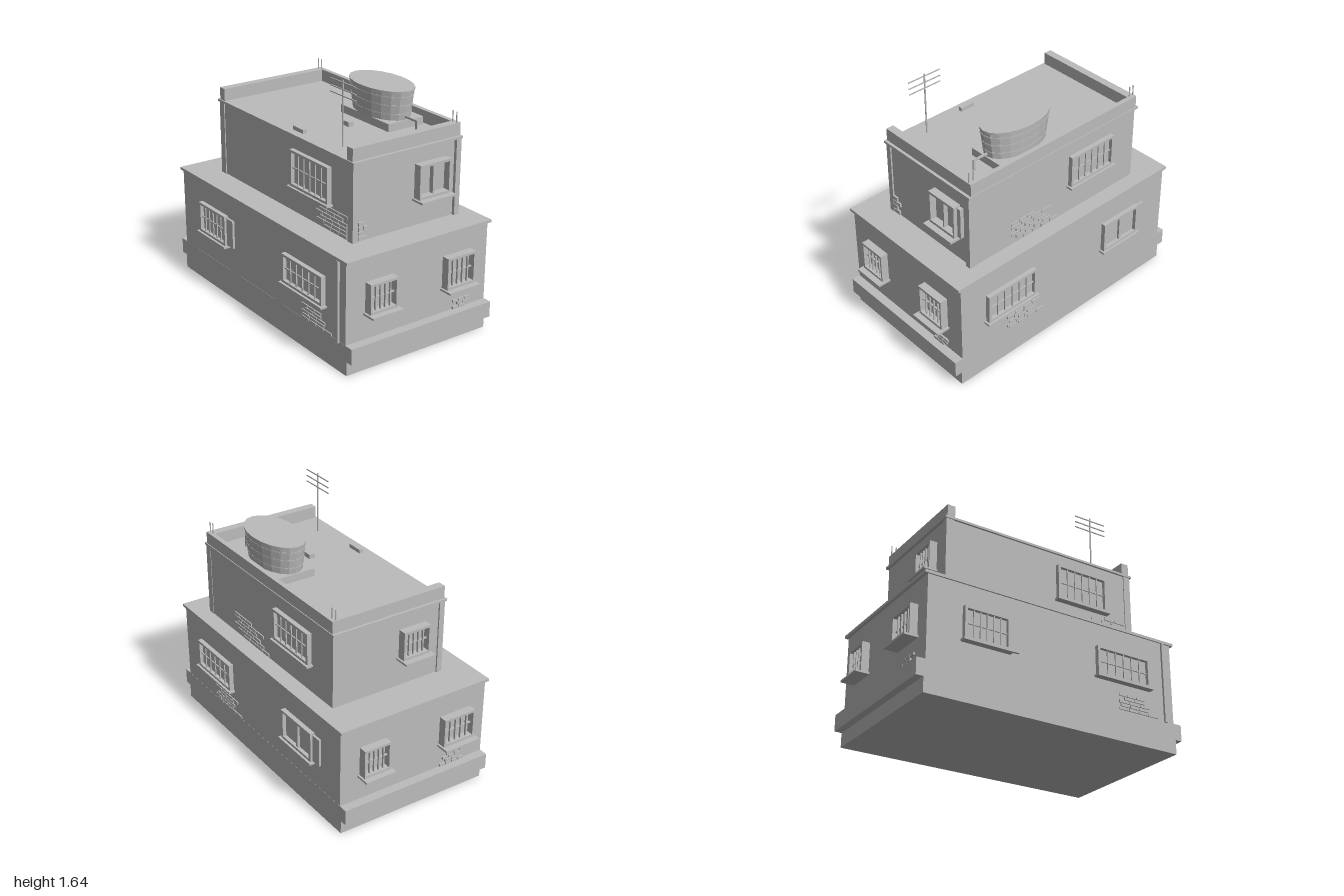
import * as THREE from 'three';

const concrete = new THREE.MeshStandardMaterial({ color: 0xbcbcbc });
concrete.name = 'concrete';

function mesh(parent, name, geometry, x = 0, y = 0, z = 0) {
  const m = new THREE.Mesh(geometry, concrete);
  m.name = name;
  m.position.set(x, y, z);
  parent.add(m);
  return m;
}

// Box given by its limits on each axis
function box(parent, name, x0, x1, y0, y1, z0, z1) {
  return mesh(parent, name, new THREE.BoxGeometry(x1 - x0, y1 - y0, z1 - z0),
    (x0 + x1) / 2, (y0 + y1) / 2, (z0 + z1) / 2);
}

function rod(parent, name, x, y0, y1, z, r = 0.004) {
  return mesh(parent, name, new THREE.CylinderGeometry(r, r, y1 - y0, 6), x, (y0 + y1) / 2, z);
}

// Wall frame: its own x runs rightwards seen from outside, z points outwards
function wall(parent, name, turn, x, z) {
  const g = new THREE.Group();
  g.name = name;
  g.rotation.y = turn * Math.PI / 2;
  g.position.set(x, 0, z);
  parent.add(g);
  return g;
}

// Framed window with sill, glass, grille or two panes, and optional open shutter
function addWindow(parent, a, b, y0, y1, { deep = false, bars = 5, shutter = 0 } = {}) {
  const g = new THREE.Group();
  g.name = 'window';
  parent.add(g);
  const d = deep ? 0.052 : 0.03, sill = deep ? 0.092 : 0.045;
  const w = deep ? 0.012 : 0.018, t = 0.016;
  box(g, 'frameLeft', a, a + w, y0, y1, 0, d);
  box(g, 'frameRight', b - w, b, y0, y1, 0, d);
  box(g, 'frameTop', a + w, b - w, y1 - t, y1, 0, d);
  box(g, 'frameBottom', a + w, b - w, y0, y0 + t, 0, d);
  box(g, 'glass', a + w, b - w, y0 + t, y1 - t, 0, 0.006);
  box(g, 'sill', a - 0.013, b + 0.013, y0 - 0.013, y0, 0, sill);
  if (bars) {
    const bw = deep ? 0.005 : 0.007;
    for (let i = 1; i <= bars; i++) {
      const x = a + w + (b - a - 2 * w) * i / (bars + 1);
      box(g, 'verticalBar', x - bw / 2, x + bw / 2, y0 + t, y1 - t, d * 0.5, d * 0.75);
    }
    const ym = (y0 + y1) / 2;
    box(g, 'crossBar', a + w, b - w, ym - 0.004, ym + 0.004, d * 0.35, d * 0.6);
  } else {
    const xm = (a + b) / 2;
    box(g, 'mullion', xm - w / 2, xm + w / 2, y0 + t, y1 - t, 0, d * 0.7);
  }
  if (shutter) box(g, 'shutter', b, b + shutter, y0 + 0.004, y1 - 0.012, 0, d * 0.5);
}

// Exposed bricks: each row is [start, end], laid from the bottom up
function addBricks(parent, y, rowHeight, rows, deep = false) {
  const g = new THREE.Group();
  g.name = 'exposedBricks';
  parent.add(g);
  const len = deep ? 0.045 : 0.076, gap = 0.005;
  rows.forEach(([a, b], i) => {
    const n = Math.max(1, Math.round((b - a) / len)), step = (b - a) / n;
    for (let k = 0; k < n; k++) {
      box(g, 'brick', a + k * step, a + (k + 1) * step - gap,
        y + i * rowHeight, y + (i + 1) * rowHeight - gap, 0, deep ? 0.012 : 0.007);
    }
  });
}

export function createModel() {
  const root = new THREE.Group();
  root.name = 'house';
  // The house is turned slightly, then stretched along x
  const stretch = 1.72;
  const outer = new THREE.Group(), turned = new THREE.Group(), h = new THREE.Group();
  outer.name = 'stretchedHouse'; turned.name = 'turnedHouse'; h.name = 'houseParts';
  outer.scale.x = stretch;
  turned.rotation.y = -0.041;
  h.scale.x = 1 / stretch;
  root.add(outer); outer.add(turned); turned.add(h);

  // Lower storey
  box(h, 'plinthBase', -0.895, 0.895, 0, 0.093, -0.521, 0.521);
  box(h, 'plinthTop', -0.943, 0.943, 0.093, 0.197, -0.521, 0.521);
  box(h, 'lowerStorey', -0.885, 0.885, 0.197, 0.717, -0.52, 0.52);
  box(h, 'lowerRoofSlab', -0.907, 0.907, 0.717, 0.735, -0.53, 0.53);
  box(h, 'lowerDrainpipe', 0.81, 0.828, 0.19, 0.717, 0.515, 0.535);

  // Upper storey with pilasters on three corners
  box(h, 'upperStorey', -0.67, 0.71, 0.735, 1.225, -0.425, 0.345);
  for (const [x, z] of [[-0.655, 0.333], [0.695, 0.333], [0.705, -0.41]]) {
    box(h, 'cornerPilaster', x - 0.025, x + 0.025, 0.735, 1.225, z - 0.018, z + 0.018);
  }
  box(h, 'upperRoofSlab', -0.69, 0.732, 1.225, 1.24, -0.435, 0.358);

  // Parapet, open at the front
  box(h, 'parapetLeft', -0.673, -0.62, 1.24, 1.32, -0.43, 0.35);
  box(h, 'parapetRight', 0.66, 0.713, 1.24, 1.32, -0.43, 0.35);
  box(h, 'parapetBack', -0.62, 0.66, 1.24, 1.32, -0.43, -0.4);
  for (const x of [-0.667, -0.635, 0.672, 0.705]) rod(h, 'reinforcingRod', x, 1.3, 1.388, -0.405);

  // Lower walls
  const front = wall(h, 'lowerFrontWall', 0, 0, 0.52);
  addWindow(front, -0.653, -0.343, 0.37, 0.575, { shutter: 0.07 });
  addWindow(front, 0.29, 0.692, 0.377, 0.567);
  addBricks(front, 0.2, 0.022, [[0.46, 0.76], [0.47, 0.69], [0.46, 0.7], [0.5, 0.66], [0.46, 0.66]]);

  const right = wall(h, 'lowerRightWall', 1, 0.885, 0);
  addWindow(right, -0.384, -0.189, 0.373, 0.568, { deep: true, bars: 4 });
  addWindow(right, 0.181, 0.391, 0.367, 0.575, { deep: true, bars: 4 });
  addBricks(right, 0.2, 0.022, [[0.265, 0.36], [0.3, 0.39], [0.265, 0.4]], true);

  const back = wall(h, 'lowerBackWall', 2, 0, -0.52);
  addWindow(back, -0.69, -0.296, 0.375, 0.567);
  addWindow(back, 0.31, 0.625, 0.37, 0.573, { bars: 0, shutter: 0.067 });
  addBricks(back, 0.2, 0.022, [[-0.5, -0.2], [-0.52, -0.3], [-0.5, -0.28], [-0.46, -0.3], [-0.52, -0.24]]);

  const left = wall(h, 'lowerLeftWall', 3, -0.885, 0);
  addWindow(left, -0.386, -0.202, 0.373, 0.568, { deep: true, bars: 4 });
  addWindow(left, 0.189, 0.413, 0.373, 0.568, { deep: true, bars: 4 });
  addBricks(left, 0.2, 0.022, [[0.2, 0.38], [0.24, 0.34], [0.22, 0.36], [0.25, 0.4]], true);

  // Upper walls
  const upFront = wall(h, 'upperFrontWall', 0, 0, 0.345);
  addWindow(upFront, 0.129, 0.509, 0.912, 1.145);
  addBricks(upFront, 0.742, 0.025, [[0.44, 0.67], [0.37, 0.67], [0.4, 0.67], [0.36, 0.67], [0.4, 0.63], [0.5, 0.67]]);

  const upRight = wall(h, 'upperRightWall', 1, 0.71, 0);
  addWindow(upRight, 0.097, 0.327, 0.912, 1.13, { deep: true, bars: 0, shutter: 0.03 });
  addBricks(upRight, 0.742, 0.03, [[-0.31, -0.25], [-0.31, -0.27], [-0.31, -0.24], [-0.31, -0.27]], true);

  const upBack = wall(h, 'upperBackWall', 2, 0, -0.425);
  addWindow(upBack, 0.085, 0.457, 0.93, 1.14);
  addBricks(upBack, 0.742, 0.025, [[-0.3, 0], [-0.36, -0.06], [-0.4, -0.1], [-0.36, -0.14], [-0.4, -0.06], [-0.4, -0.2]]);

  const upLeft = wall(h, 'upperLeftWall', 3, -0.67, 0);
  addWindow(upLeft, 0.034, 0.223, 0.93, 1.12, { deep: true, bars: 4 });

  // Water tank on its platform, flat-sided staves with hoops
  box(h, 'tankPlatform', -0.03, 0.436, 1.24, 1.29, -0.38, -0.12);
  const tank = new THREE.Group();
  tank.name = 'waterTank';
  tank.position.set(0.203, 1.29, -0.247);
  tank.scale.set(0.257, 1, 0.15);
  h.add(tank);
  const sides = 20;
  const taper = y => 0.88 + 0.1 * y / 0.18;
  const staves = new THREE.CylinderGeometry(taper(0.18), taper(0), 0.18, sides).toNonIndexed();
  staves.computeVertexNormals();
  mesh(tank, 'tankStaves', staves, 0, 0.09, 0);
  for (const y of [0.04, 0.095, 0.15]) {
    const hoop = new THREE.CylinderGeometry(taper(y) + 0.014, taper(y) + 0.012, 0.008, sides).toNonIndexed();
    hoop.computeVertexNormals();
    mesh(tank, 'tankHoop', hoop, 0, y, 0);
  }
  mesh(tank, 'tankLid', new THREE.CylinderGeometry(1, 0.995, 0.012, sides), 0, 0.184, 0);

  // Outlet pipe bending down to the roof
  box(h, 'outletPipe', 0.42, 0.54, 1.305, 1.318, -0.256, -0.246);
  box(h, 'outletPipeDrop', 0.524, 0.54, 1.24, 1.306, -0.256, -0.246);

  // Small blocks left on the roof
  box(h, 'roofBlock', 0.17, 0.228, 1.24, 1.27, -0.022, 0.016);
  box(h, 'roofBrick', 0.07, 0.175, 1.24, 1.265, 0.278, 0.306);

  // Aerial
  rod(h, 'aerialPole', 0.483, 1.24, 1.645, 0.248, 0.005);
  for (const y of [1.55, 1.588, 1.63]) {
    box(h, 'aerialBar', 0.363, 0.603, y - 0.003, y + 0.003, 0.245, 0.251);
  }
  return root;
}
